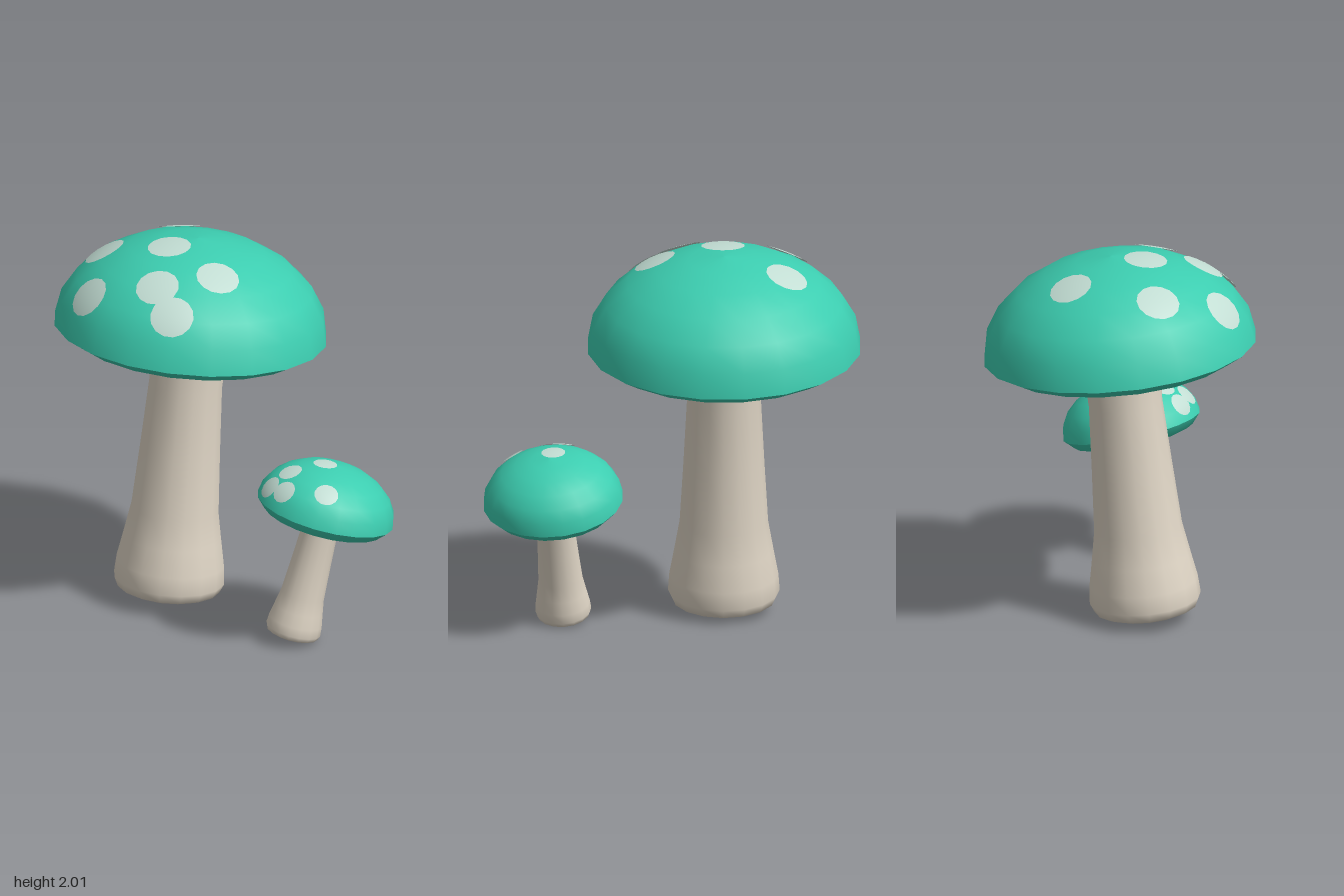
import * as THREE from 'three';

const material = (name, color, side = THREE.FrontSide) =>
  Object.assign(new THREE.MeshStandardMaterial({ color, side }), { name });

const lathe = (name, profile, segments, mat) => {
  const points = profile.map(([x, y]) => new THREE.Vector2(x, y));
  const mesh = new THREE.Mesh(new THREE.LatheGeometry(points, segments), mat);
  mesh.name = name;
  return mesh;
};

// Round patch that hugs the domed cap (half ellipsoid of radius R, height H)
function spotGeometry(x, z, r, R, H) {
  const lift = 0.005;
  const axes = new THREE.Vector3(R, H, R);
  const y = H * Math.sqrt(Math.max(0, 1 - (x * x + z * z) / (R * R)));
  const centre = new THREE.Vector3(x, y, z);
  const normal = centre.clone().divide(axes).divide(axes).normalize();
  const turn = new THREE.Quaternion().setFromUnitVectors(new THREE.Vector3(0, 0, 1), normal);
  const geo = new THREE.RingGeometry(0, r, 14, 3);
  const pos = geo.attributes.position;
  const nor = geo.attributes.normal;
  const p = new THREE.Vector3();
  for (let i = 0; i < pos.count; i++) {
    p.fromBufferAttribute(pos, i).applyQuaternion(turn).add(centre);
    p.divide(axes).normalize().multiply(axes);
    const n = p.clone().divide(axes).divide(axes).normalize();
    p.addScaledVector(n, lift);
    pos.setXYZ(i, p.x, p.y, p.z);
    nor.setXYZ(i, n.x, n.y, n.z);
  }
  return geo;
}

function mushroom(o, mats) {
  const { R, H, D } = o;
  const group = new THREE.Group();
  group.name = o.name;

  // Stem: flared rounded foot, slim waist
  const stem = lathe('stem', [
    [0, 0], [0.23, 0], [0.272, 0.018], [0.293, 0.065], [0.286, 0.16], [0.26, 0.3],
    [0.232, 0.46], [0.212, 0.8], [0.194, 1.15], [0.205, 1.4],
  ].map(([x, y]) => [x * o.stemScale, y * o.stemScale]), 16, mats.stem);
  group.add(stem);

  // Cap: dome and shallow underside meeting at a sharp rim
  const cap = new THREE.Group();
  cap.name = 'cap';
  cap.position.y = o.capY;
  const dome = [];
  for (let i = 0; i <= 6; i++) {
    const a = (i / 6) * Math.PI / 2;
    dome.push([i === 6 ? 0 : R * Math.cos(a), H * Math.sin(a)]);
  }
  cap.add(lathe('capDome', dome, 20, mats.cap));
  cap.add(lathe('capUnderside',
    [[0, -D], [0.45 * R, -0.93 * D], [0.7 * R, -0.78 * D], [0.87 * R, -0.56 * D], [R, 0]],
    20, mats.cap));

  // Pale spots
  o.spots.forEach(([x, z]) => {
    const spot = new THREE.Mesh(spotGeometry(x, z, o.spotRadius, R, H), mats.spot);
    spot.name = 'spot';
    cap.add(spot);
  });
  group.add(cap);

  // Lean the whole mushroom
  group.position.set(...o.base);
  group.quaternion.setFromUnitVectors(
    new THREE.Vector3(0, 1, 0), new THREE.Vector3(...o.lean).normalize());
  return group;
}

export function createModel() {
  const mats = {
    cap: material('teal cap', 0x3ccdb0),
    stem: material('beige stem', 0xdfd5c5),
    spot: material('pale spot', 0xc2ddd3, THREE.DoubleSide),
  };
  const model = new THREE.Group();
  model.name = 'mushrooms';

  model.add(mushroom({
    name: 'largeMushroom', base: [-0.322, 0.04, 0.045], lean: [0.07, 1, -0.072],
    stemScale: 1, capY: 1.455, R: 0.722, H: 0.51, D: 0.1, spotRadius: 0.116,
    spots: [[-0.15, -0.32], [-0.49, 0.02], [-0.13, 0.14], [-0.5, 0.39],
      [-0.13, 0.47], [0.17, 0.35], [-0.02, 0.61]],
  }, mats));

  model.add(mushroom({
    name: 'smallMushroom', base: [0.412, 0.025, 0.495], lean: [0.23, 0.965, -0.12],
    stemScale: 0.5, capY: 0.71, R: 0.369, H: 0.257, D: 0.09, spotRadius: 0.064,
    spots: [[-0.06, 0.03], [-0.22, 0.127], [-0.3, 0.172], [-0.215, 0.253], [0.006, 0.277]],
  }, mats));

  return model;
}
